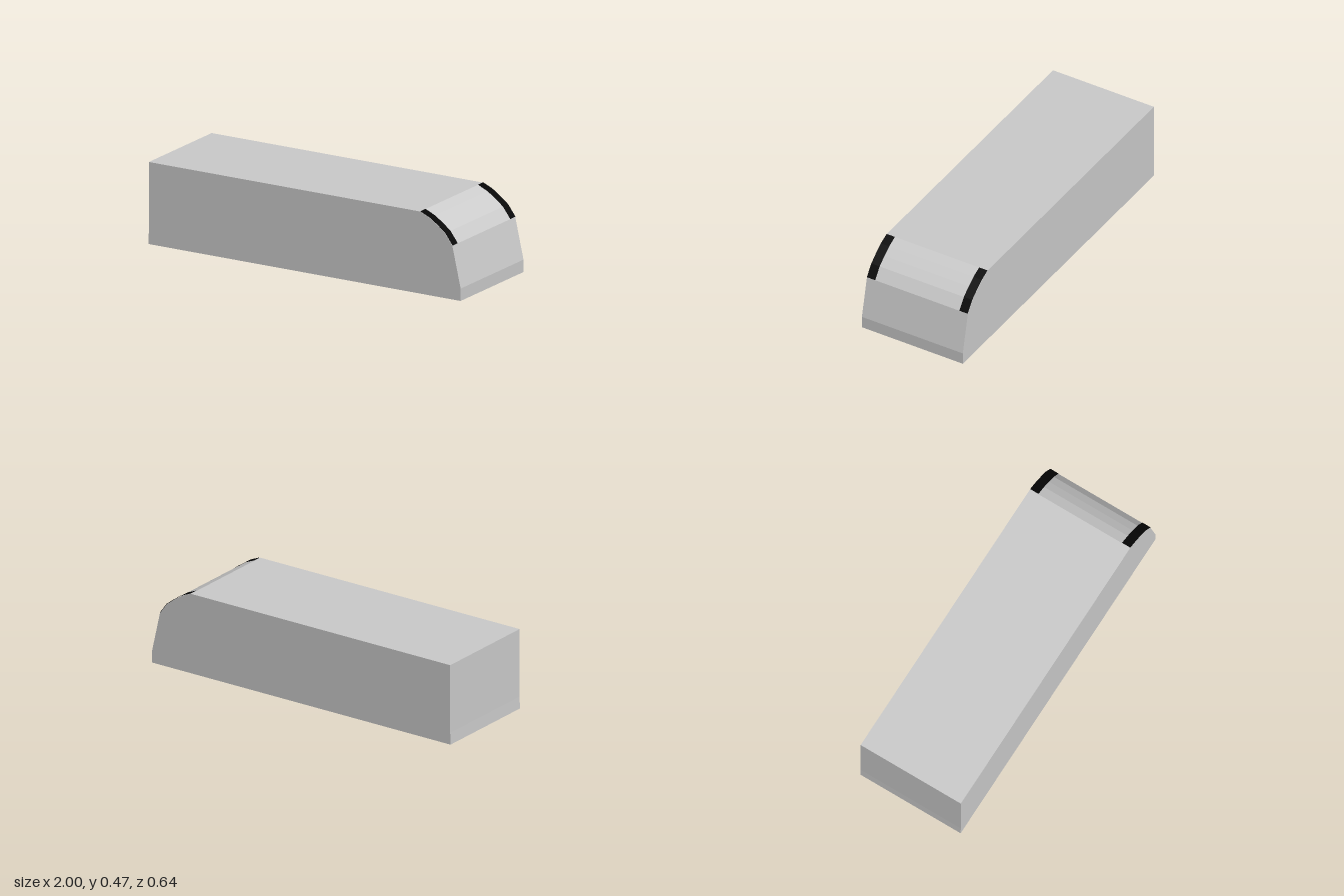
import * as THREE from 'three';

const HALF_WIDTH = 0.32;
const BAND_WIDTH = 0.053;
const LIFT = 0.0015;

// Rounded shoulder of the nose, from roof down to the sloping face
const shoulder = [[0.74, 0.465], [0.8, 0.439], [0.85, 0.406], [0.9, 0.367], [0.947, 0.304]];

// Solid body: side profile extruded across the width
function makeBody() {
  const profile = [[-1, 0], [1, 0], [1, 0.07], ...[...shoulder].reverse(), [-0.998, 0.465], [-0.998, 0.07]];
  const shape = new THREE.Shape(profile.map(([x, y]) => new THREE.Vector2(x, y)));
  const geometry = new THREE.ExtrudeGeometry(shape, { depth: 2 * HALF_WIDTH, bevelEnabled: false });
  geometry.translate(0, 0, -HALF_WIDTH);
  const body = new THREE.Mesh(geometry, new THREE.MeshStandardMaterial({ color: 0xcccccc, flatShading: true }));
  body.name = 'body';
  return body;
}

// Thin band lying on the shoulder, along one edge of the nose
function makeBand(side) {
  const geometry = new THREE.PlaneGeometry(1, 1, shoulder.length - 1, 1);
  const position = geometry.attributes.position;
  const centre = side * (HALF_WIDTH - BAND_WIDTH / 2);
  for (let i = 0; i < position.count; i++) {
    const [x, y] = shoulder[i % shoulder.length];
    const z = centre - position.getY(i) * BAND_WIDTH;
    position.setXYZ(i, x + LIFT, y + LIFT, z);
  }
  geometry.computeVertexNormals();
  const material = new THREE.MeshStandardMaterial({ color: 0x050505, flatShading: true, side: THREE.DoubleSide });
  const band = new THREE.Mesh(geometry, material);
  band.name = side > 0 ? 'frontBlackBand' : 'backBlackBand';
  return band;
}

export function createModel() {
  const model = new THREE.Group();
  model.name = 'roundedNoseBlock';
  model.add(makeBody());
  for (const side of [1, -1]) model.add(makeBand(side));
  return model;
}
